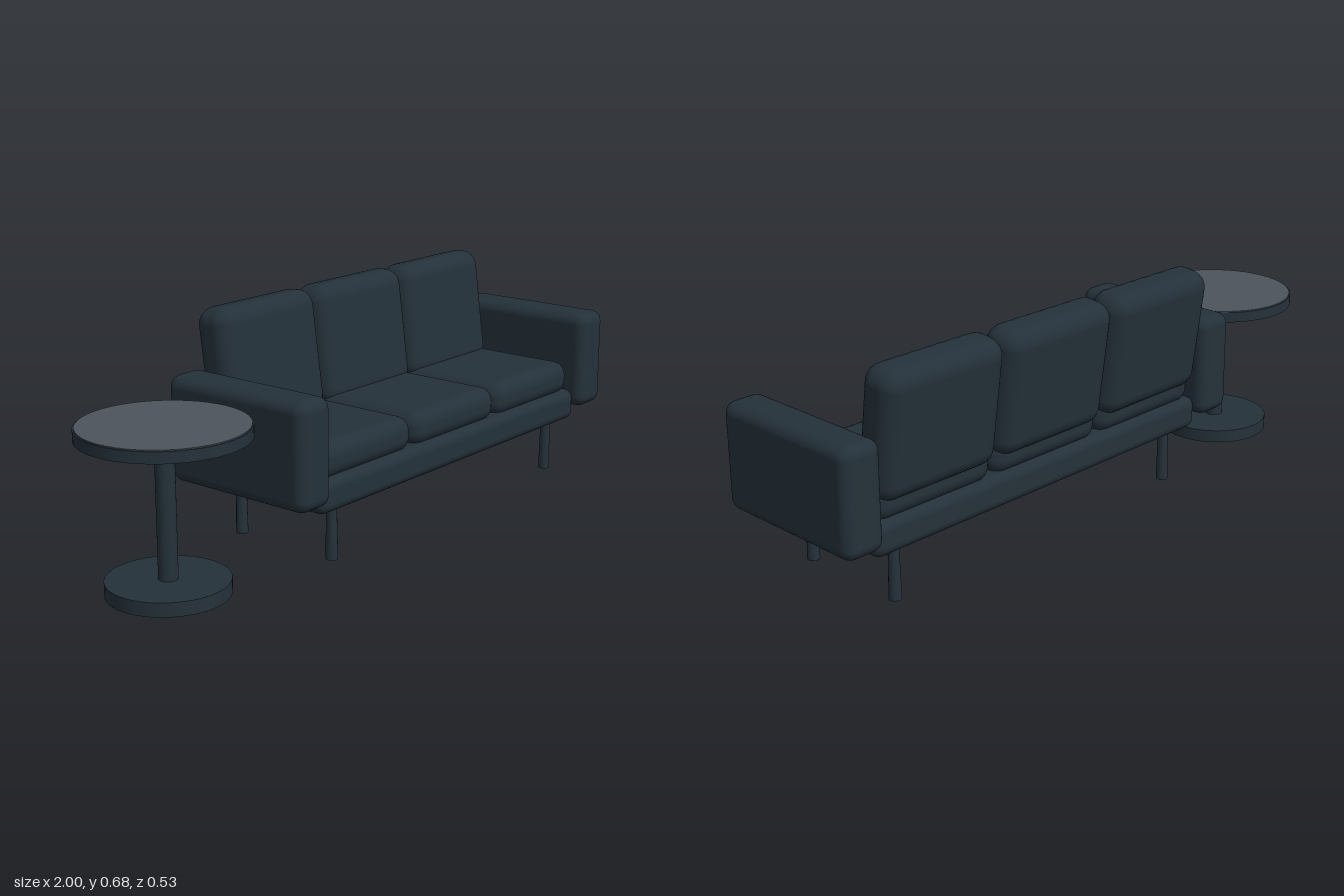
import * as THREE from 'three';
import { RoundedBoxGeometry } from 'three/addons/geometries/RoundedBoxGeometry.js';

export function createModel() {
  const model = new THREE.Group();
  model.name = 'sofaAndTable';

  const upholstery = new THREE.MeshStandardMaterial({ name: 'dark blue slate', color: 0x24313a });
  const tableGrey = new THREE.MeshStandardMaterial({ name: 'table top grey', color: 0x4d545b });

  const add = (parent, name, geometry, material, x, y, z) => {
    const mesh = new THREE.Mesh(geometry, material);
    mesh.name = name;
    mesh.position.set(x, y, z);
    parent.add(mesh);
    return mesh;
  };
  const softBox = (w, h, d, r) => new RoundedBoxGeometry(w, h, d, 4, r);

  // Sofa, mirrored about its own centre line
  const sofa = new THREE.Group();
  sofa.name = 'sofa';
  sofa.position.x = 0.243;
  model.add(sofa);

  add(sofa, 'seatBase', softBox(1.28, 0.1, 0.443, 0.03), upholstery, 0, 0.206, 0.014);

  // Three seat cushions, each with a back cushion leaning backwards
  for (const i of [-1, 0, 1]) {
    const x = i * 0.418;
    add(sofa, 'seatCushion', softBox(0.412, 0.106, 0.42, 0.045), upholstery, x, 0.297, 0.012);
    const back = add(sofa, 'backCushion', softBox(0.41, 0.372, 0.13, 0.052), upholstery, x, 0.489, -0.181);
    back.rotation.x = -0.138;
  }

  // Arms and tapered legs
  const legGeometry = new THREE.CylinderGeometry(0.0145, 0.018, 0.18, 16);
  for (const side of [-1, 1]) {
    const label = side < 0 ? 'right' : 'left';
    add(sofa, label + 'Arm', softBox(0.127, 0.31, 0.504, 0.035), upholstery, side * 0.6925, 0.35, 0.014);
    add(sofa, label + 'FrontLeg', legGeometry, upholstery, side * 0.543, 0.09, 0.185);
    add(sofa, label + 'BackLeg', legGeometry, upholstery, side * 0.543, 0.09, -0.157);
  }

  // Round pedestal table
  const table = new THREE.Group();
  table.name = 'sideTable';
  table.position.set(-0.766, 0, 0.012);
  model.add(table);

  const disc = (r, h) => new THREE.CylinderGeometry(r, r, h, 48);
  add(table, 'tableFoot', disc(0.17, 0.04), upholstery, 0, 0.02, 0);
  add(table, 'tableColumn', disc(0.027, 0.4), upholstery, 0, 0.235, 0);
  add(table, 'tableTop', disc(0.234, 0.032), upholstery, 0, 0.447, 0);
  add(table, 'tableTopSurface', disc(0.23, 0.005), tableGrey, 0, 0.4635, 0);

  return model;
}
